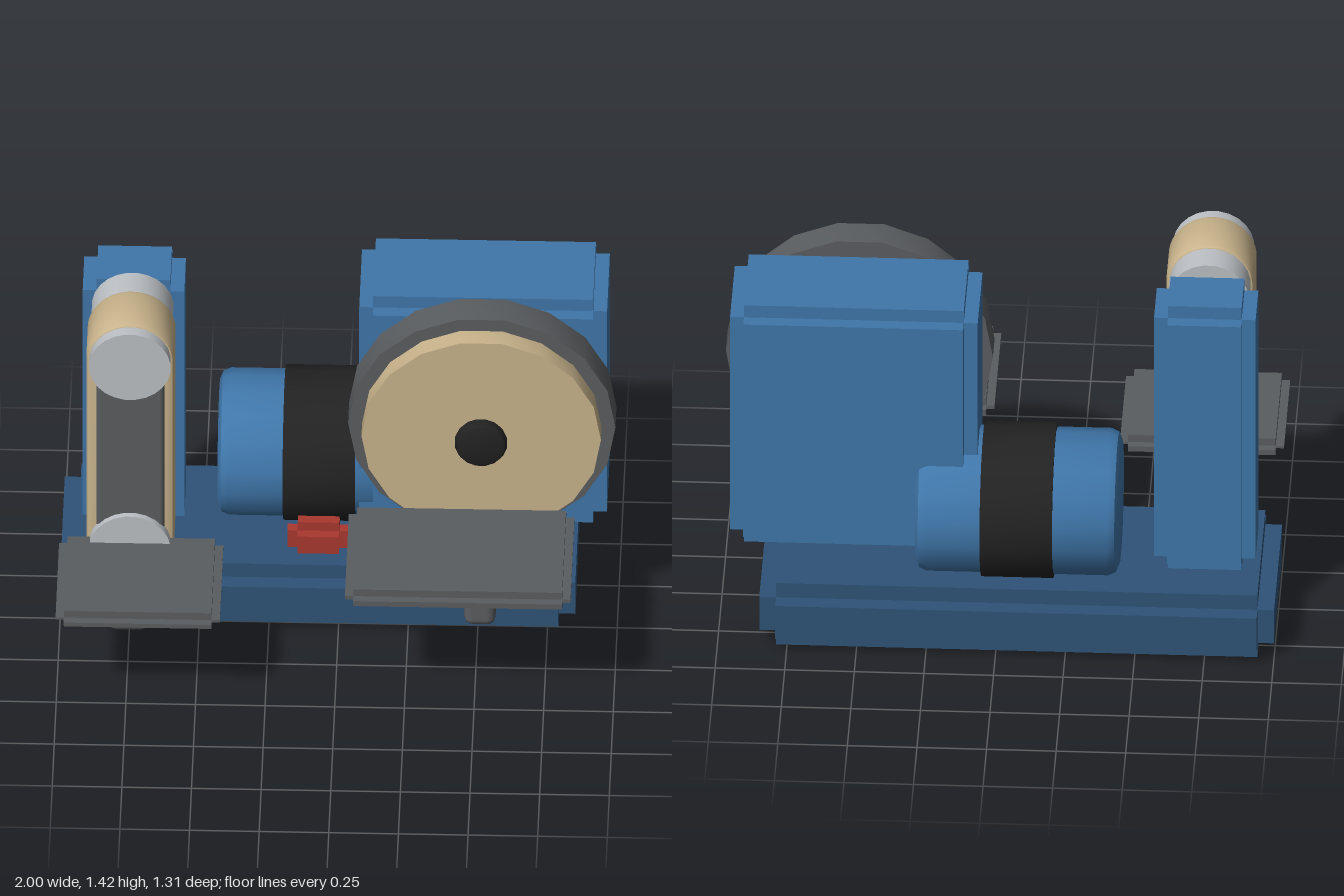
import * as THREE from 'three';
import { toCreasedNormals } from 'three/addons/utils/BufferGeometryUtils.js';
import { RoundedBoxGeometry } from 'three/addons/geometries/RoundedBoxGeometry.js';

const paint = (name, color) => {
  const m = new THREE.MeshStandardMaterial({ color });
  m.name = name;
  return m;
};

export function createModel() {
  const model = new THREE.Group();
  model.name = 'beltDiscSander';

  const navy = paint('navy blue', 0x2f5377);
  const blue = paint('machine blue', 0x3f76a9);
  const tan = paint('abrasive tan', 0xc9b48c);
  const iron = paint('iron grey', 0x5a5d60);
  const steel = paint('light steel', 0xbcc0c4);
  const black = paint('black', 0x222222);
  const red = paint('switch red', 0xaa3830);

  const add = (name, geometry, material, parent = model) => {
    const mesh = new THREE.Mesh(geometry, material);
    mesh.name = name;
    parent.add(mesh);
    return mesh;
  };
  const mid = (r) => (r[0] + r[1]) / 2;
  const len = (r) => r[1] - r[0];

  // Block with square-notched edges: three crossing boxes, each full length on one axis
  const notchedBlock = (name, x, y, z, notch, material) => {
    const group = new THREE.Group();
    group.name = name;
    group.position.set(mid(x), mid(y), mid(z));
    for (let axis = 0; axis < 3; axis++) {
      const size = [x, y, z].map((r, i) => len(r) - (i === axis ? 0 : 2 * notch));
      add(name + 'XYZ'[axis], new THREE.BoxGeometry(...size), material, group);
    }
    model.add(group);
  };

  // Block with soft edges
  const softBlock = (name, x, y, z, radius, material) =>
    add(name, new RoundedBoxGeometry(len(x), len(y), len(z), 2, radius), material)
      .position.set(mid(x), mid(y), mid(z));

  // Drum turned around an axis, with bevelled ends
  const drum = (name, axis, [cx, cy, cz], radius, length, bevel, sides, material) => {
    const h = length / 2, b = bevel;
    const profile = [[0, -h], [radius - b, -h]];
    if (b) {
      profile.push([radius - b * 0.3, -h + b * 0.3], [radius, -h + b],
        [radius, h - b], [radius - b * 0.3, h - b * 0.3]);
    } else profile.push([radius, -h], [radius, h]);
    profile.push([radius - b, h], [0, h]);
    const points = profile
      .filter((p, i) => !i || p[0] !== profile[i - 1][0] || p[1] !== profile[i - 1][1])
      .map((p) => new THREE.Vector2(...p));
    const geometry = toCreasedNormals(
      new THREE.LatheGeometry(points, sides, Math.PI / sides), 0.6);
    const mesh = add(name, geometry, material);
    if (axis === 'x') mesh.rotation.z = -Math.PI / 2;
    else mesh.rotation.x = Math.PI / 2;
    mesh.position.set(cx, cy, cz);
  };

  // Base and housings
  notchedBlock('base', [-1, 0.85], [0, 0.26], [-0.64, 0.06], 0.06, navy);
  notchedBlock('discHousing', [0.07, 0.96], [0.37, 1.37], [-0.53, -0.085], 0.05, blue);
  notchedBlock('beltColumn', [-0.925, -0.56], [0.26, 1.37], [-0.46, -0.16], 0.05, blue);

  // Motor
  drum('motorBody', 'x', [-0.075, 0.52, -0.385], 0.265, 0.73, 0.04, 16, blue);
  drum('motorBand', 'x', [-0.075, 0.52, -0.385], 0.28, 0.26, 0, 16, black);

  // Sanding disc
  drum('discPlate', 'z', [0.515, 0.93, -0.0225], 0.48, 0.125, 0, 18, iron);
  drum('sandingDisc', 'z', [0.515, 0.93, 0.075], 0.43, 0.08, 0, 18, tan);
  drum('discHub', 'z', [0.515, 0.93, 0.143], 0.095, 0.064, 0.025, 16, black);

  // Sanding belt: a bevelled capsule around two rollers
  const beltX = -0.745, low = 0.445, high = 1.262, bevel = 0.02, beltR = 0.158 - bevel;
  const loop = new THREE.Shape();
  loop.absarc(beltX, high, beltR, 0, Math.PI, false);
  loop.absarc(beltX, low, beltR, Math.PI, Math.PI * 2, false);
  loop.closePath();
  const belt = new THREE.ExtrudeGeometry(loop, {
    depth: 0.22 - 2 * bevel, bevelThickness: bevel, bevelSize: bevel,
    bevelSegments: 2, curveSegments: 12,
  });
  add('sandingBelt', toCreasedNormals(belt, 0.6), tan).position.z = -0.085 + bevel;
  drum('upperRoller', 'z', [beltX, high + 0.003, -0.01], 0.147, 0.37, 0, 24, steel);
  drum('lowerRoller', 'z', [beltX, low + 0.003, -0.01], 0.147, 0.37, 0, 24, steel);
  softBlock('beltPlaten', [-0.865, -0.622], [0.5, 1.19], [-0.1, 0.152], 0.015, iron);

  // Work tables and their brackets
  notchedBlock('discTable', [0.04, 0.85], [0.545, 0.62], [0.1, 0.65], 0.03, iron);
  notchedBlock('beltTable', [-1, -0.41], [0.405, 0.475], [0.11, 0.615], 0.03, iron);
  softBlock('discTableBracket', [0.46, 0.573], [0.263, 0.548], [0.1, 0.36], 0.03, iron);
  softBlock('beltTableBracket', [-0.82, -0.667], [0.263, 0.41], [0.13, 0.432], 0.035, iron);

  // Power switch
  notchedBlock('powerSwitch', [-0.187, 0.036], [0.2, 0.372], [-0.18, -0.067], 0.037, red);

  return model;
}
